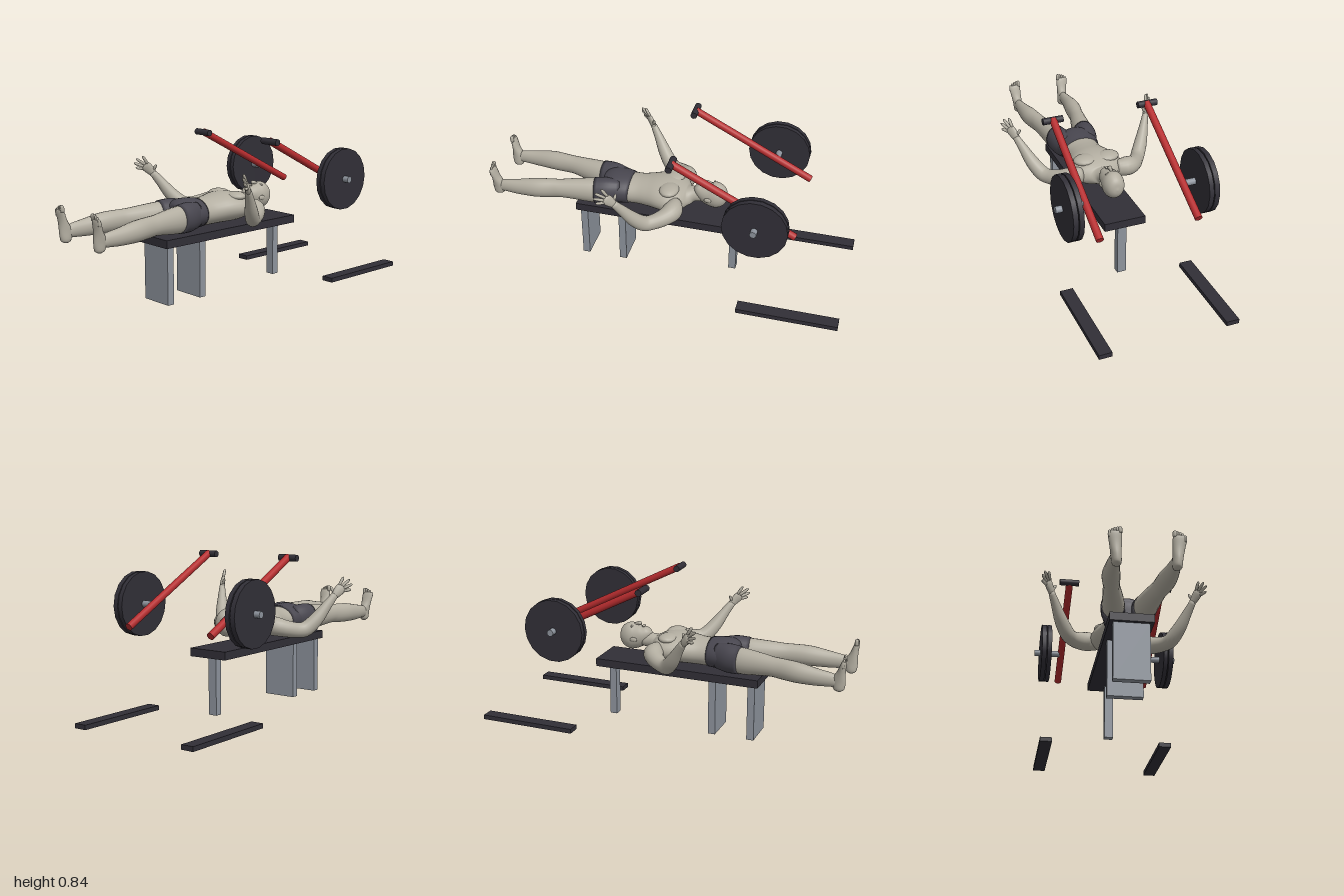
import * as THREE from 'three';

const mat = (name, color) => Object.assign(new THREE.MeshStandardMaterial({ color }), { name });
const V = (x, y, z) => new THREE.Vector3(x, y, z);

export function createModel() {
  const skin = mat('skin', 0xb3aea1), cloth = mat('shorts cloth', 0x48464f);
  const dark = mat('dark rubber', 0x312f37), red = mat('red paint', 0xb52c2e), steel = mat('steel', 0x8d939c);
  const model = new THREE.Group();
  model.name = 'benchPressStation';
  const group = (name) => {
    const g = new THREE.Group();
    g.name = name;
    model.add(g);
    return g;
  };
  const add = (parent, name, geo, material, x = 0, y = 0, z = 0) => {
    const m = new THREE.Mesh(geo, material);
    m.name = name;
    m.position.set(x, y, z);
    parent.add(m);
    return m;
  };

  // Smooth loft through elliptical sections [x, y, z, rx, ry]; s = -1 mirrors it in x
  const loft = (sections, s = 1, ref = [0, 1, 0], sides = 20, sub = 4) => {
    const path = new THREE.CatmullRomCurve3(sections.map((p) => V(p[0] * s, p[1], p[2])), false, 'catmullrom');
    const radii = new THREE.CatmullRomCurve3(sections.map((p) => V(p[3], p[4], 0)), false, 'catmullrom');
    const up0 = V(ref[0] * s, ref[1], ref[2]);
    const n = (sections.length - 1) * sub, pos = [], idx = [];
    for (let i = 0; i <= n; i++) {
      const c = path.getPoint(i / n), r = radii.getPoint(i / n), d = path.getTangent(i / n);
      const side = up0.clone().cross(d).normalize(), up = d.clone().cross(side);
      for (let j = 0; j < sides; j++) {
        const a = (j / sides) * Math.PI * 2;
        const p = c.clone().addScaledVector(side, r.x * Math.cos(a)).addScaledVector(up, r.y * Math.sin(a));
        pos.push(p.x, p.y, p.z);
        if (i < n) {
          const k = i * sides + j, l = i * sides + ((j + 1) % sides);
          idx.push(k, l, k + sides, l, l + sides, k + sides);
        }
      }
    }
    // end caps
    const a = pos.length / 3, last = n * sides;
    for (const t of [0, 1]) pos.push(...path.getPoint(t).toArray());
    for (let j = 0; j < sides; j++) {
      const l = (j + 1) % sides;
      idx.push(a, l, j, a + 1, last + j, last + l);
    }
    const g = new THREE.BufferGeometry();
    g.setAttribute('position', new THREE.Float32BufferAttribute(pos, 3));
    g.setIndex(idx);
    g.computeVertexNormals();
    return g;
  };
  // Rounded finger-like piece between two points
  const digit = (a, b, r, s, ref) => {
    const at = (t, k) => [0, 1, 2].map((i) => a[i] + (b[i] - a[i]) * t).concat(r * k, r * k);
    return loft([at(0, 0.9), at(0.5, 1), at(0.85, 0.85), at(1, 0.25)], s, ref, 8, 2);
  };

  // Bench
  const bench = group('bench');
  add(bench, 'benchPad', new THREE.BoxGeometry(0.23, 0.044, 0.94), dark, 0, 0.332, 0.055);
  for (const [z, w] of [[0.485, 0.19], [0.265, 0.19], [-0.355, 0.05]])
    add(bench, 'benchLeg', new THREE.BoxGeometry(w, 0.31, 0.04), steel, 0, 0.155, z);

  // Lever arms with handles and weight plates, and floor runners
  const grip = V(0, 0.826, -0.064), tail = V(0, 0.487, -0.722);
  const dir = tail.clone().sub(grip), mid = grip.clone().add(tail).multiplyScalar(0.5);
  for (const s of [1, -1]) {
    const lever = group(s > 0 ? 'leftLever' : 'rightLever');
    const bar = add(lever, 'leverArm', new THREE.CylinderGeometry(0.02, 0.02, dir.length(), 16), red, s * 0.265, mid.y, mid.z);
    bar.quaternion.setFromUnitVectors(V(0, 1, 0), dir.clone().normalize());
    const disc = (name, r, x0, x1, y, z, material, sides) => {
      const geo = new THREE.CylinderGeometry(r, r, x1 - x0, sides).rotateZ(Math.PI / 2);
      add(lever, name, geo, material, (s * (x0 + x1)) / 2, y, z);
    };
    disc('handle', 0.018, 0.212, 0.322, grip.y - 0.003, grip.z, dark, 16);
    disc('axle', 0.018, 0.275, 0.425, 0.583, -0.528, steel, 16);
    disc('weightPlate', 0.171, 0.333, 0.358, 0.583, -0.528, dark, 18);
    disc('weightPlate', 0.171, 0.363, 0.39, 0.583, -0.528, dark, 18);
    add(model, 'floorRunner', new THREE.BoxGeometry(0.07, 0.025, 0.55), dark, s * 0.345, 0.0125, -0.725);
  }

  // Lying figure: trunk and head
  const body = group('lyingFigure');
  add(body, 'torso', loft([
    [0, 0.468, -0.17, 0.04, 0.038], [0, 0.462, -0.12, 0.045, 0.043], [0, 0.453, -0.092, 0.085, 0.05],
    [0, 0.45, -0.055, 0.14, 0.066], [0, 0.452, 0, 0.15, 0.08], [0, 0.452, 0.06, 0.138, 0.082],
    [0, 0.447, 0.12, 0.117, 0.078], [0, 0.443, 0.18, 0.103, 0.075], [0, 0.442, 0.25, 0.104, 0.075],
  ], 1, undefined, 32), skin);
  add(body, 'shortsSeat', loft([
    [0, 0.443, 0.228, 0.107, 0.079], [0, 0.445, 0.28, 0.118, 0.084],
    [0, 0.445, 0.335, 0.118, 0.083], [0, 0.442, 0.38, 0.07, 0.065], [0, 0.442, 0.392, 0.03, 0.03],
  ], 1, undefined, 32), cloth);
  add(body, 'head', loft([
    [0, 0.522, -0.136, 0.012, 0.012], [0, 0.516, -0.143, 0.03, 0.028], [0, 0.497, -0.17, 0.047, 0.05],
    [0, 0.482, -0.21, 0.056, 0.069], [0, 0.478, -0.25, 0.059, 0.076], [0, 0.476, -0.285, 0.048, 0.06],
    [0, 0.475, -0.303, 0.029, 0.036], [0, 0.475, -0.31, 0.004, 0.005],
  ], 1, undefined, 24), skin);
  add(body, 'nose', loft([
    [0, 0.542, -0.232, 0.006, 0.006], [0, 0.551, -0.21, 0.008, 0.01],
    [0, 0.554, -0.196, 0.012, 0.011], [0, 0.548, -0.188, 0.006, 0.004],
  ], 1, undefined, 10), skin);
  const blob = (name, x, y, z, rx, ry, rz) =>
    add(body, name, new THREE.SphereGeometry(1, 16, 10).scale(rx, ry, rz), skin, x, y, z);
  blob('lips', 0, 0.542, -0.172, 0.018, 0.007, 0.008);

  const palmRef = [0.76, 0.21, -0.63];
  for (const s of [1, -1]) {
    blob('ear', s * 0.057, 0.472, -0.212, 0.007, 0.014, 0.021);
    blob('brow', s * 0.023, 0.54, -0.232, 0.018, 0.008, 0.006);
    blob('chestMuscle', s * 0.065, 0.512, 0, 0.066, 0.025, 0.054);

    // Arm and open hand
    add(body, 'arm', loft([
      [0.1, 0.45, -0.045, 0.035, 0.045], [0.165, 0.45, -0.045, 0.054, 0.052], [0.215, 0.437, -0.012, 0.047, 0.046],
      [0.26, 0.425, 0.045, 0.039, 0.041], [0.288, 0.434, 0.085, 0.039, 0.042], [0.325, 0.485, 0.13, 0.035, 0.037],
      [0.36, 0.555, 0.175, 0.024, 0.027], [0.387, 0.61, 0.212, 0.016, 0.02],
    ], s), skin);
    add(body, 'palm', loft([
      [0.38, 0.597, 0.204, 0.018, 0.014], [0.393, 0.622, 0.222, 0.026, 0.014],
      [0.406, 0.645, 0.242, 0.029, 0.012], [0.411, 0.655, 0.25, 0.02, 0.007],
    ], s, palmRef, 14), skin);
    const fingers = [
      [[0.398, 0.662, 0.238], [0.408, 0.705, 0.266]], [[0.407, 0.654, 0.246], [0.431, 0.69, 0.293]],
      [[0.414, 0.643, 0.25], [0.444, 0.665, 0.298]], [[0.418, 0.63, 0.25], [0.444, 0.637, 0.286]],
      [[0.385, 0.615, 0.212], [0.363, 0.656, 0.203]],
    ];
    fingers.forEach(([a, b], i) => add(body, i < 4 ? 'finger' : 'thumb', digit(a, b, 0.0085, s, palmRef), skin));

    // Shorts leg, leg, foot and toes
    add(body, 'shortsLeg', loft([
      [0.06, 0.445, 0.28, 0.05, 0.07], [0.074, 0.445, 0.35, 0.063, 0.08], [0.084, 0.444, 0.418, 0.063, 0.076],
    ], s, undefined, 24), cloth);
    add(body, 'leg', loft([
      [0.072, 0.445, 0.36, 0.055, 0.07], [0.084, 0.443, 0.43, 0.059, 0.072], [0.1, 0.445, 0.52, 0.052, 0.063],
      [0.116, 0.446, 0.6, 0.044, 0.054], [0.124, 0.444, 0.65, 0.042, 0.055], [0.138, 0.44, 0.74, 0.046, 0.055],
      [0.145, 0.432, 0.84, 0.035, 0.046], [0.146, 0.428, 0.92, 0.025, 0.037], [0.146, 0.42, 0.965, 0.02, 0.03],
    ], s), skin);
    const toward = [0, 0, 1];
    add(body, 'foot', loft([
      [0.143, 0.371, 0.962, 0.01, 0.012], [0.143, 0.385, 0.962, 0.023, 0.029], [0.146, 0.43, 0.962, 0.026, 0.034],
      [0.15, 0.48, 0.973, 0.03, 0.021], [0.154, 0.525, 0.983, 0.034, 0.014], [0.154, 0.541, 0.987, 0.029, 0.009],
    ], s, toward), skin);
    for (let i = 0; i < 5; i++) {
      const x = 0.13 + i * 0.0125, top = 0.566 - i * i * 0.0014;
      add(body, 'toe', digit([x, top - 0.035, 0.985], [x, top, 0.988], i ? 0.0075 : 0.011, s, toward), skin);
    }
  }
  return model;
}
